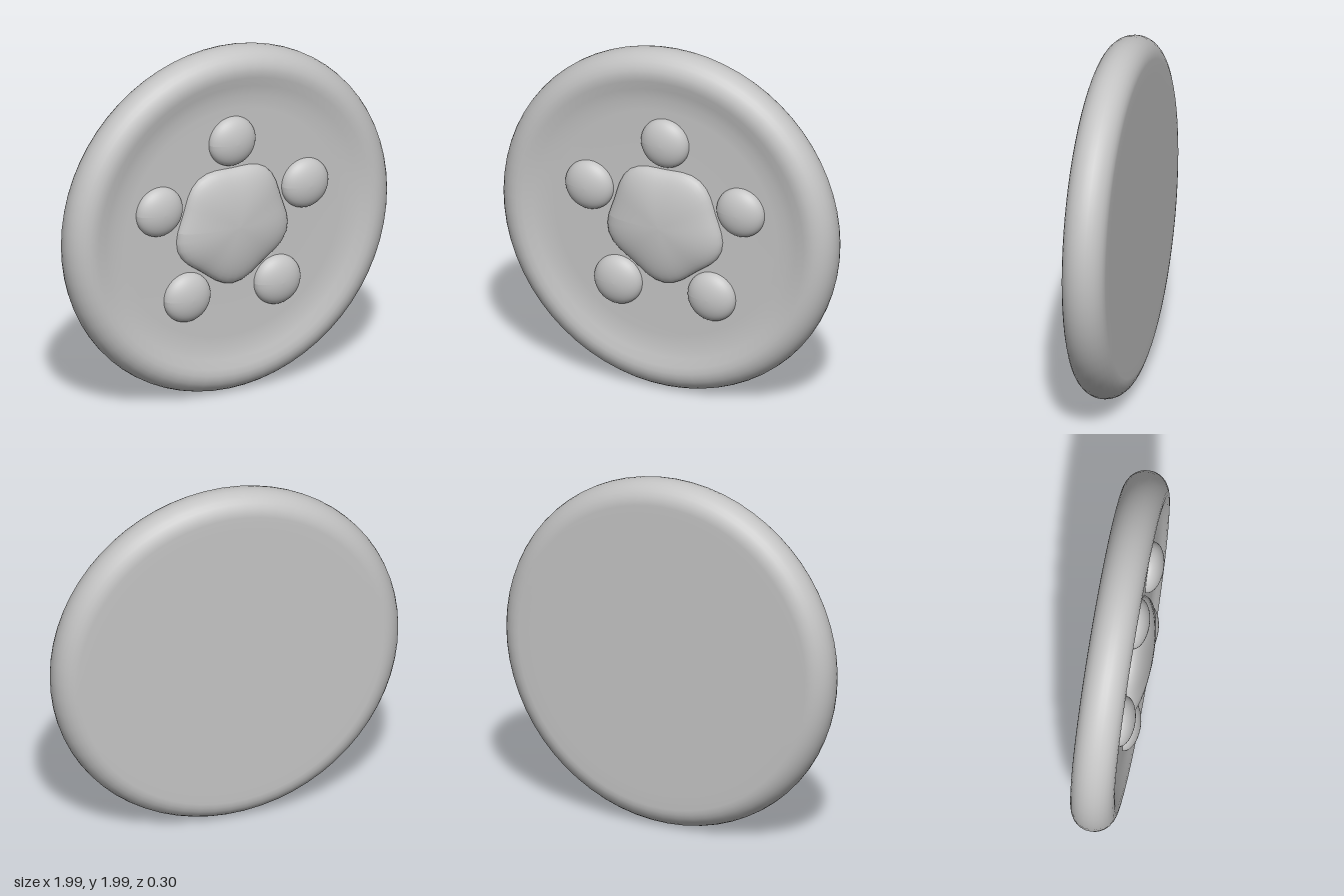
import * as THREE from 'three';

const FACE_Z = 0.055; // depth of the recessed front face

// Half ellipsoid bulging toward +z, optionally with a five-lobed outline
function domeGeometry(radius, height, lobe = 0) {
  const geo = new THREE.SphereGeometry(1, 40, 12, 0, Math.PI * 2, 0, Math.PI / 2);
  geo.rotateX(Math.PI / 2);
  const p = geo.attributes.position;
  for (let i = 0; i < p.count; i++) {
    const x = p.getX(i), y = p.getY(i);
    const angle = Math.atan2(y, x);
    const r = radius + lobe * Math.cos(5 * (angle + Math.PI / 2));
    p.setXYZ(i, x * r, y * r, p.getZ(i) * height);
  }
  geo.computeVertexNormals();
  return geo;
}

export function createModel() {
  const group = new THREE.Group();
  const grey = new THREE.MeshStandardMaterial({ color: 0xc4c4c4 });
  grey.name = 'light grey';

  const add = (name, geo, x, y, z) => {
    const mesh = new THREE.Mesh(geo, grey);
    mesh.name = name;
    mesh.position.set(x, y, z);
    group.add(mesh);
  };

  // Wheel body: flat back, fully rounded rim, shallow dished front
  const profile = [new THREE.Vector2(0, -0.152), new THREE.Vector2(0.5, -0.152), new THREE.Vector2(0.8, -0.152)];
  const steps = 14;
  for (let i = 0; i <= steps; i++) {
    const a = -Math.PI / 2 + (Math.PI * i) / steps;
    profile.push(new THREE.Vector2(0.875 + 0.12 * Math.cos(a), -0.031 + 0.121 * Math.sin(a)));
  }
  for (const [r, z] of [[0.84, 0.086], [0.79, 0.071], [0.73, 0.059], [0.66, FACE_Z], [0.4, FACE_Z], [0, FACE_Z]]) {
    profile.push(new THREE.Vector2(r, z));
  }
  const body = new THREE.LatheGeometry(profile, 64);
  body.rotateX(Math.PI / 2);
  add('wheelBody', body, 0, 1, 0);

  // Central hub dome with soft corners between the lugs
  add('hubDome', domeGeometry(0.335, 0.152 - FACE_Z, 0.018), 0, 1, FACE_Z);

  // Five lug domes around the hub
  const lug = domeGeometry(0.142, 0.131 - FACE_Z);
  for (let i = 0; i < 5; i++) {
    const a = Math.PI / 2 + (i * Math.PI * 2) / 5;
    add('lugDome' + (i + 1), lug, 0.475 * Math.cos(a), 1 + 0.475 * Math.sin(a), FACE_Z);
  }
  return group;
}
